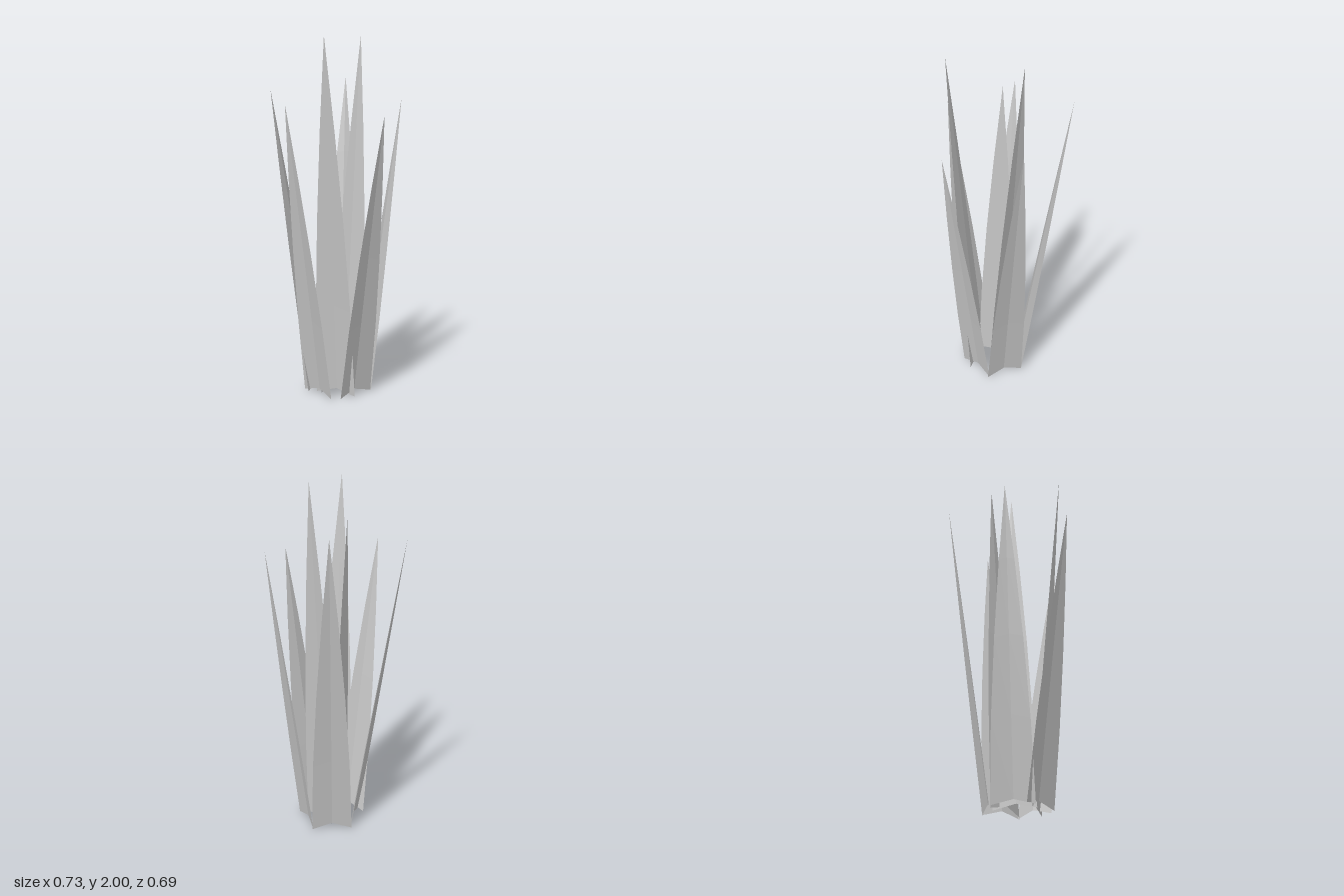
import * as THREE from 'three';

// Each blade: the two base corners (x, z) and the tip (x, y, z)
const BLADES = [
  { name: 'backRightBlade', a: [0, -0.2], b: [-0.18, -0.06], tip: [-0.24, 1.7, -0.345] },
  { name: 'backLeftBlade', a: [0, -0.208], b: [0.19, -0.08], tip: [0.26, 1.77, -0.325] },
  { name: 'rightBlade', a: [-0.17, -0.113], b: [-0.14, 0.113], tip: [-0.365, 1.63, 0.02] },
  { name: 'leftBlade', a: [0.185, -0.085], b: [0.125, 0.125], tip: [0.36, 1.65, 0.08] },
  { name: 'frontBlade', a: [-0.095, 0.14], b: [0.127, 0.115], tip: [0.04, 1.57, 0.343] },
  { name: 'frontRightBlade', a: [-0.135, -0.04], b: [-0.01, 0.155], tip: [-0.2, 1.98, 0.14] },
  { name: 'innerLeftBlade', a: [0.037, -0.163], b: [0.09, 0.09], tip: [0.18, 2, -0.062] },
  { name: 'innerBackBlade', a: [-0.13, 0], b: [0.075, -0.113], tip: [-0.04, 1.81, -0.102] },
];

// Thin blade with a shallow central crease, tapering in a convex curve to a point
function bladeGeometry({ a, b, tip }) {
  const left = new THREE.Vector3(a[0], 0, a[1]);
  const right = new THREE.Vector3(b[0], 0, b[1]);
  const top = new THREE.Vector3(...tip);
  const mid = left.clone().add(right).multiplyScalar(0.5);
  const half = right.clone().sub(left).multiplyScalar(0.5);
  const inward = mid.clone().sub(top).setY(0).normalize().multiplyScalar(0.012);
  inward.y = 0.03;

  const points = [], index = [], rows = 4;
  for (let i = 0; i <= rows; i++) {
    const t = i / rows;
    const taper = 1 - Math.pow(t, 1.6);
    const centre = mid.clone().lerp(top, t);
    for (const side of [-1, 0, 1]) {
      const p = centre.clone().addScaledVector(half, side * taper);
      if (side === 0) p.addScaledVector(inward, taper);
      points.push(p);
    }
    if (i === rows) break;
    for (let j = 0; j < 2; j++) {
      const k = i * 3 + j;
      index.push(k, k + 1, k + 3);
      if (i < rows - 1) index.push(k + 1, k + 4, k + 3);
    }
  }
  // Close the last row on the shared tip
  const geometry = new THREE.BufferGeometry().setFromPoints(points);
  geometry.setIndex(index);
  const flat = geometry.toNonIndexed();
  flat.computeVertexNormals();
  return flat;
}

export function createModel() {
  const model = new THREE.Group();
  model.name = 'grassTuft';
  const grey = new THREE.MeshStandardMaterial({
    color: 0xc4c4c4, side: THREE.DoubleSide, flatShading: true,
  });
  grey.name = 'bladeGrey';

  for (const blade of BLADES) {
    const mesh = new THREE.Mesh(bladeGeometry(blade), grey);
    mesh.name = blade.name;
    model.add(mesh);
  }
  return model;
}
